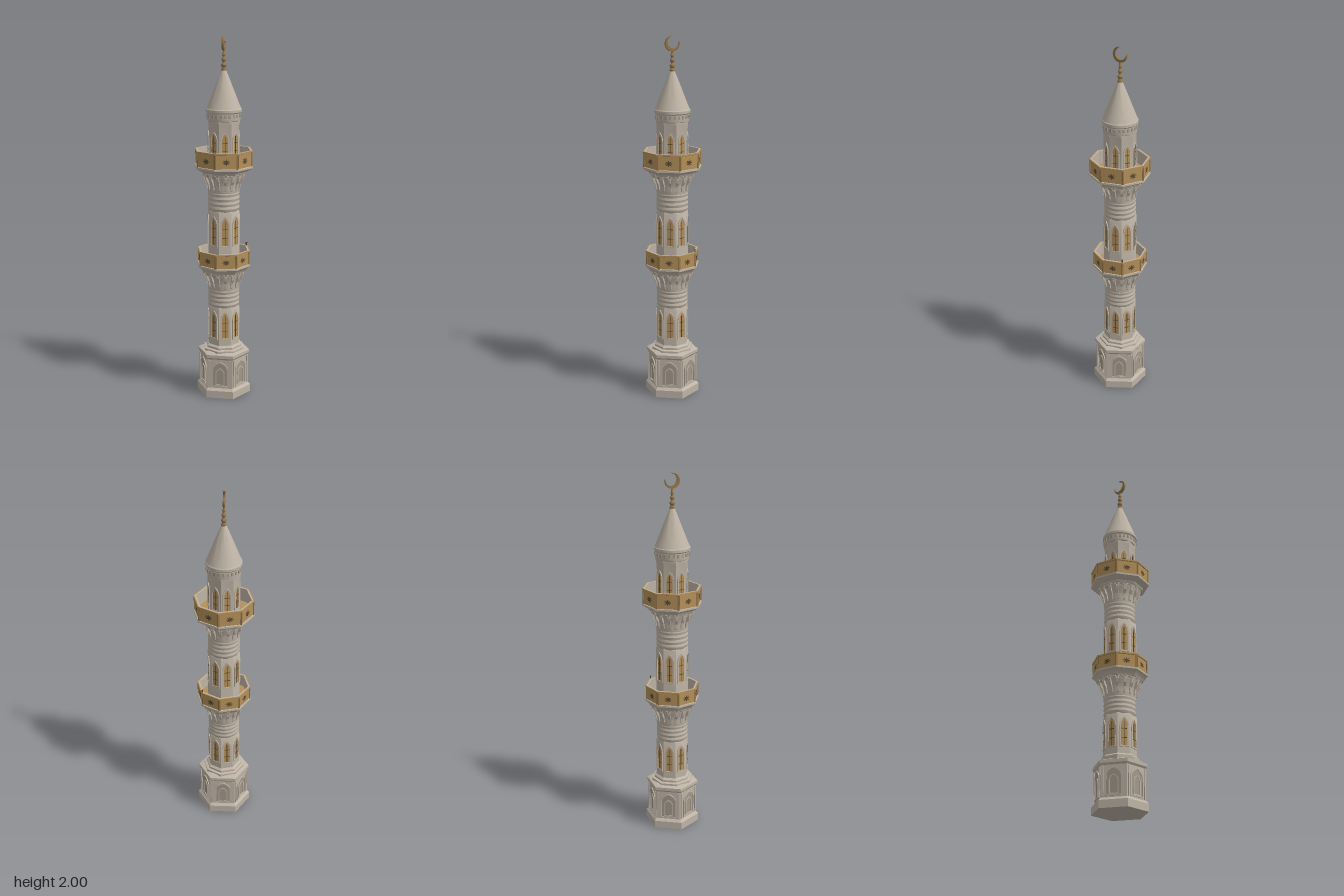
import * as THREE from 'three';
import { toCreasedNormals } from 'three/addons/utils/BufferGeometryUtils.js';

const mat = (name, color) => Object.assign(new THREE.MeshStandardMaterial({ color }), { name });

export function createModel() {
  const stone = mat('stone', 0xbfb4a6);
  const shade = mat('shaded stone', 0xa3988a);
  const gold = mat('ochre', 0xb4905a);
  const dark = mat('dark bronze', 0x5c4a32);
  const brass = mat('brass', 0x94764a);
  const model = new THREE.Group();
  model.name = 'tower';

  const group = (name, parent = model) => {
    const g = new THREE.Group();
    g.name = name;
    parent.add(g);
    return g;
  };
  const add = (parent, name, geo, material, x = 0, y = 0, z = 0) => {
    const m = new THREE.Mesh(geo, material);
    m.name = name;
    m.position.set(x, y, z);
    parent.add(m);
    return m;
  };
  // Turned or many-sided body from [radius, height] pairs, listed bottom to top
  const turned = (pts, sides, start = 0) => toCreasedNormals(
    new THREE.LatheGeometry(pts.map(([r, y]) => new THREE.Vector2(r, y)), sides, start), 0.5);
  // Octagon given by its distance to the flats
  const OCT = 1 / Math.cos(Math.PI / 8);
  const octagon = pts => turned(pts.map(([r, y]) => [r * OCT, y]), 8, Math.PI / 8);
  // Holders spaced round the axis, each with +z facing outwards
  const around = (parent, name, n, start, build) => {
    for (let i = 0; i < n; i++) {
      const g = group(name, parent);
      g.rotation.y = start + (i * 2 * Math.PI) / n;
      build(g);
    }
  };
  // Pointed arch outline standing on y = 0
  const arch = (Type, w, h, y0 = 0) => {
    const s = new Type(), spring = y0 + h * 0.68;
    s.moveTo(-w, y0);
    s.lineTo(w, y0);
    s.lineTo(w, spring);
    s.quadraticCurveTo(w, y0 + h * 0.87, 0, y0 + h);
    s.quadraticCurveTo(-w, y0 + h * 0.87, -w, spring);
    return s;
  };
  const extrude = (shape, depth) => new THREE.ExtrudeGeometry(shape, { depth, bevelEnabled: false, curveSegments: 6 });
  const archFrame = (w, h, t, depth) => {
    const s = arch(THREE.Shape, w, h);
    s.holes.push(arch(THREE.Path, w - t, h - 2 * t, t));
    return extrude(s, depth);
  };

  // Window with raised surround, coloured pane and thin grille
  const windows = (name, r, y, w, h) => around(group(name), 'window', 8, 0, g => {
    add(g, 'windowSurround', archFrame(w, h, 0.008, 0.008), stone, 0, y, r - 0.003);
    add(g, 'windowPane', extrude(arch(THREE.Shape, w - 0.008, h - 0.016), 0.002), gold, 0, y + 0.008, r - 0.001);
    add(g, 'windowMullion', new THREE.BoxGeometry(0.003, h * 0.78, 0.003), dark, 0, y + h * 0.45, r + 0.002);
    for (const k of [0.3, 0.6])
      add(g, 'windowBar', new THREE.BoxGeometry(w * 1.1, 0.003, 0.003), dark, 0, y + h * k, r + 0.002);
  });

  // Hexagonal base with arched niches
  const base = group('base');
  add(base, 'basePlinth', turned([[0, 0], [0.152, 0], [0.152, 0.042], [0.138, 0.056], [0.138, 0.225],
    [0.146, 0.235], [0.146, 0.252], [0.118, 0.262], [0, 0.262]], 6, Math.PI / 6), stone);
  add(base, 'baseCollar', octagon([[0.108, 0.255], [0.108, 0.27], [0.094, 0.274], [0.094, 0.285], [0.083, 0.295]]), stone);
  around(base, 'baseNiche', 6, 0, g => {
    add(g, 'nicheOuterFrame', archFrame(0.046, 0.15, 0.007, 0.008), stone, 0, 0.064, 0.117);
    add(g, 'nicheBack', extrude(arch(THREE.Shape, 0.039, 0.136), 0.002), shade, 0, 0.071, 0.1185);
    add(g, 'nicheInnerFrame', archFrame(0.026, 0.105, 0.006, 0.006), stone, 0, 0.071, 0.118);
    for (const s of [-1, 1])
      add(g, 'nichePilaster', new THREE.BoxGeometry(0.007, 0.16, 0.008), stone, s * 0.058, 0.14, 0.12);
  });

  // Faceted lower part and round, ringed upper part of each shaft
  const shaft = (name, y0, split, top) => {
    const g = group(name);
    add(g, 'shaftFacets', octagon([[0.083, y0], [0.083, split], [0.079, split + 0.008]]), stone);
    const pts = [[0.079, split]];
    for (let i = 0; i <= 8; i++)
      pts.push([i % 2 ? 0.0875 : 0.084, split + 0.008 + i * (top - split - 0.008) / 8]);
    add(g, 'shaftBand', turned(pts, 24), stone);
  };
  shaft('lowerShaft', 0.28, 0.51, 0.62);
  shaft('middleShaft', 0.75, 1.055, 1.17);
  add(group('upperShaft'), 'shaftFacets', octagon([[0.08, 1.3], [0.08, 1.53], [0.084, 1.55], [0.08, 1.57]]), stone);
  windows('lowerWindows', 0.083, 0.33, 0.026, 0.165);
  windows('middleWindows', 0.083, 0.865, 0.026, 0.172);
  windows('upperWindows', 0.08, 1.35, 0.024, 0.145);

  // Eight-petalled ornament
  const rosette = new THREE.Shape();
  for (let i = 0; i <= 48; i++) {
    const a = (i / 48) * 2 * Math.PI, r = 0.012 + 0.005 * Math.cos(8 * a);
    rosette[i ? 'lineTo' : 'moveTo'](1.25 * r * Math.cos(a), r * Math.sin(a));
  }
  const rosetteGeo = extrude(rosette, 0.002);

  // Balcony: flared neck, corbels, octagonal floor and parapet; y is the ledge height
  const balcony = (name, y, a, h) => {
    const g = group(name);
    add(g, 'flaredNeck', turned([[0.083, y - 0.13], [0.088, y - 0.115], [0.087, y - 0.09], [0.093, y - 0.06],
      [0.106, y - 0.03], [0.112, y - 0.012]], 32), stone);
    const side = new THREE.Shape([[0.08, -0.115], [0.091, -0.105], [0.096, -0.075], [0.108, -0.055],
      [0.113, -0.03], [0.121, -0.012], [0.08, -0.012]].map(p => new THREE.Vector2(...p)));
    const corbelGeo = extrude(side, 0.012).translate(0, 0, -0.006).rotateY(-Math.PI / 2);
    around(g, 'corbel', 16, 0, c => add(c, 'corbelBracket', corbelGeo, stone, 0, y, 0));
    around(g, 'corbelArch', 16, Math.PI / 16, c => {
      add(c, 'archRib', new THREE.TorusGeometry(0.018, 0.005, 6, 10, Math.PI), stone, 0, y - 0.037, 0.109);
      add(c, 'archShadow', new THREE.CircleGeometry(0.014, 10, 0, Math.PI), shade, 0, y - 0.037, 0.1085);
    });
    add(g, 'ledge', octagon([[0.08, y - 0.018], [0.116, y - 0.018], [0.122, y - 0.006], [a - 0.006, y + 0.008],
      [a, y + 0.012], [a, y + 0.022], [a - 0.006, y + 0.024]]), stone);
    add(g, 'parapetOuter', octagon([[a - 0.005, y + 0.02], [a - 0.005, y + h - 0.01], [a, y + h - 0.008],
      [a, y + h], [a - 0.006, y + h]]), gold);
    add(g, 'parapetInner', octagon([[a - 0.006, y + h], [a - 0.014, y + h], [a - 0.014, y + 0.03]]), stone);
    add(g, 'balconyFloor', octagon([[a - 0.012, y + 0.03], [0.075, y + 0.03]]), gold);
    const half = a * Math.tan(Math.PI / 8);
    around(g, 'parapetPanel', 8, 0, p => {
      add(p, 'panelRosette', rosetteGeo, dark, 0, y + 0.02 + (h - 0.028) / 2, a - 0.006);
      for (const s of [-1, 1])
        add(p, 'panelPost', new THREE.BoxGeometry(0.006, h - 0.024, 0.005), brass,
          s * (half - 0.005), y + h / 2 + 0.008, a - 0.004);
    });
    return g;
  };
  const low = balcony('lowerBalcony', 0.735, 0.14, 0.102);
  balcony('upperBalcony', 1.285, 0.152, 0.108);
  add(low, 'cornerPost', new THREE.BoxGeometry(0.006, 0.04, 0.006), dark, 0.133, 0.835, 0.055);

  // Roof cornice and cone
  const roof = group('roof');
  add(roof, 'roofCornice', turned([[0.078, 1.545], [0.09, 1.553], [0.092, 1.565], [0.092, 1.592],
    [0.097, 1.598], [0.097, 1.612], [0.092, 1.618]], 32), stone);
  around(roof, 'corniceOrnament', 24, 0, g =>
    add(g, 'corniceBlock', new THREE.BoxGeometry(0.012, 0.018, 0.006), shade, 0, 1.579, 0.092));
  add(roof, 'roofCone', turned([[0.095, 1.612], [0.084, 1.638], [0.05, 1.725], [0.022, 1.795], [0.009, 1.825], [0, 1.83]], 32), stone);

  // Beaded finial
  const finial = group('finial');
  add(finial, 'finialStem', turned([[0.013, 1.812], [0.014, 1.822], [0.007, 1.835], [0.006, 1.9], [0.004, 1.925], [0, 1.926]], 12), brass);
  [[1.843, 0.014], [1.872, 0.012], [1.897, 0.009]].forEach(([y, r]) =>
    add(finial, 'finialBead', new THREE.SphereGeometry(r, 14, 10), brass, 0, y, 0));

  // Crescent opening to the upper side, turned about the axis
  const crescent = new THREE.Shape();
  const rad = Math.PI / 180;
  crescent.absarc(0, 0, 0.04, 40 * rad, 320 * rad, false);
  crescent.absarc(0.0086, 0, 0.0337, 310.4 * rad, 49.6 * rad, true);
  const crescentGeo = new THREE.ExtrudeGeometry(crescent, {
    depth: 0.006, bevelEnabled: true, bevelThickness: 0.003, bevelSize: 0.0015, bevelSegments: 2, curveSegments: 24,
  }).translate(0, 0, -0.003).rotateZ(50 * rad);
  add(finial, 'crescent', crescentGeo, brass, 0, 1.96, 0).rotation.y = 30 * rad;

  return model;
}
